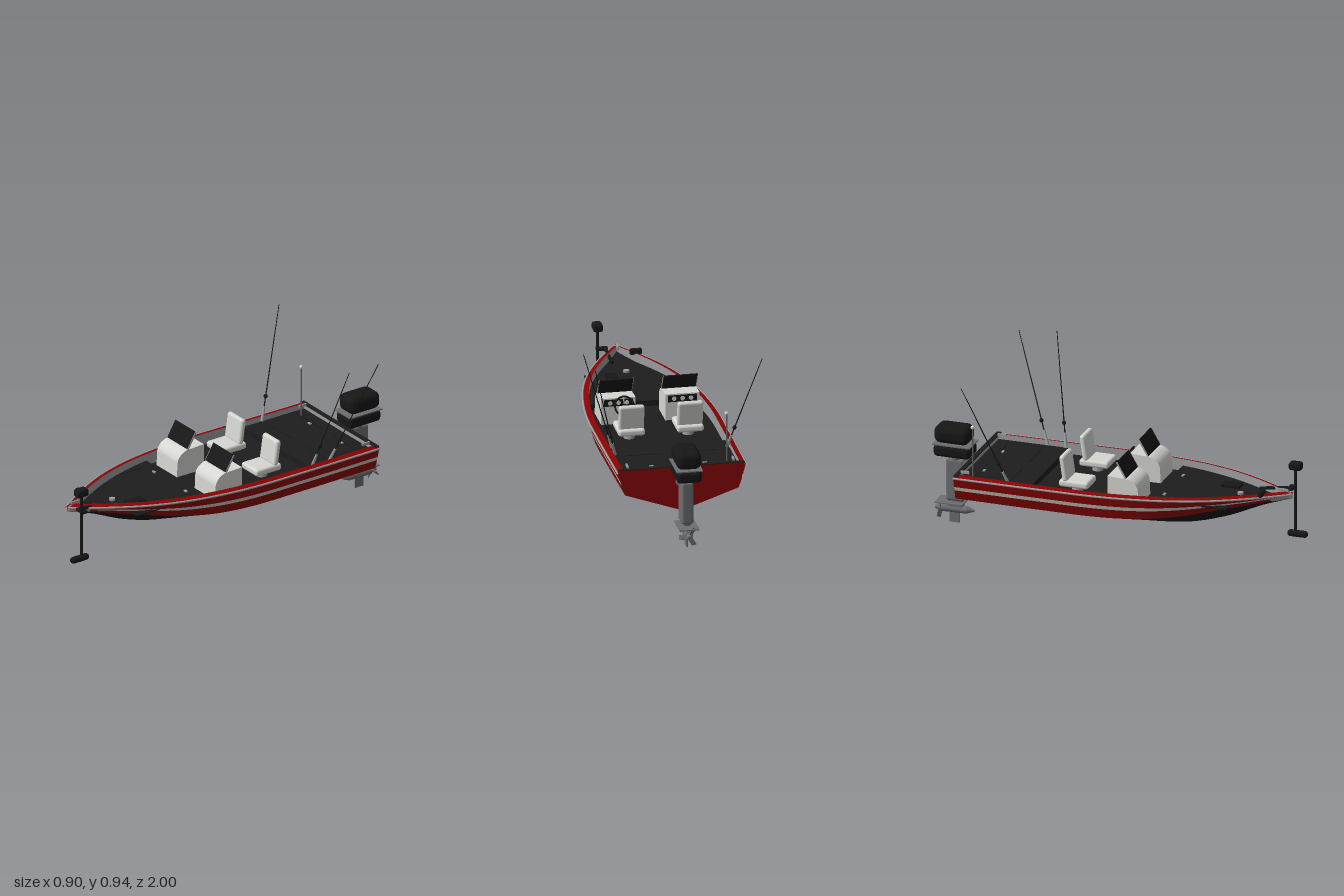
import * as THREE from 'three';
import { RoundedBoxGeometry } from 'three/addons/geometries/RoundedBoxGeometry.js';

const V = (x, y, z) => new THREE.Vector3(x, y, z);

export function createModel() {
  const model = new THREE.Group();
  model.name = 'fishingBoat';
  const mat = (name, color) => {
    const m = new THREE.MeshStandardMaterial({ color, side: THREE.DoubleSide });
    m.name = name;
    return m;
  };
  const red = mat('hullRed', 0x8b0303), black = mat('black', 0x171717), deckMat = mat('deckCharcoal', 0x1d1d1e);
  const stripe = mat('stripeGrey', 0xcac5be), metal = mat('metal', 0x9a9c9e), white = mat('vinylWhite', 0xd6d6d2);
  const grey = mat('engineGrey', 0x6c6e71), seam = mat('seam', 0x141414);

  const CX = -0.013; // centreline of the hull
  const add = (name, geo, m, x = 0, y = 0, z = 0, parent = model) => {
    const mesh = new THREE.Mesh(geo, m);
    mesh.name = name;
    mesh.position.set(x, y, z);
    parent.add(mesh);
    return mesh;
  };
  const box = (name, m, w, h, d, x, y, z, parent) => add(name, new THREE.BoxGeometry(w, h, d), m, x, y, z, parent);
  const rbox = (name, m, w, h, d, x, y, z, r, parent) =>
    add(name, new RoundedBoxGeometry(w, h, d, 4, r), m, x, y, z, parent);
  const bar = (name, m, a, b, r1, r2 = r1, parent = model) => {
    const dir = b.clone().sub(a), mid = a.clone().add(b).multiplyScalar(0.5);
    const mesh = add(name, new THREE.CylinderGeometry(r2, r1, dir.length(), 12), m, mid.x, mid.y, mid.z, parent);
    mesh.quaternion.setFromUnitVectors(V(0, 1, 0), dir.normalize());
    return mesh;
  };
  const ball = (name, m, r, x, y, z, parent) => add(name, new THREE.SphereGeometry(r, 16, 12), m, x, y, z, parent);

  // Hull stations: sheer half-width, chine half-width, keel y, chine y, sheer y
  const stations = [-0.785, -0.3, 0, 0.2, 0.4, 0.6, 0.8, 0.95];
  const lines = new THREE.CubicInterpolant(stations, [
    0.335, 0.298, 0.15, 0.254, 0.382,
    0.338, 0.302, 0.15, 0.254, 0.384,
    0.335, 0.300, 0.15, 0.256, 0.386,
    0.315, 0.281, 0.153, 0.265, 0.388,
    0.277, 0.240, 0.176, 0.289, 0.392,
    0.209, 0.173, 0.236, 0.327, 0.396,
    0.104, 0.083, 0.324, 0.361, 0.400,
    0.004, 0.002, 0.376, 0.384, 0.403], 5, new Float32Array(5));
  const at = z => {
    const [sw, cw, ky, cy, sy] = lines.evaluate(z);
    return { sw, cw, ky, cy, sy, iw: Math.max(sw - 0.029, 0) };
  };
  // Strip between two longitudinal lines, mirrored to both sides
  const strip = (name, m, lineA, lineB, z0 = -0.785, z1 = 0.95, n = 48) => {
    for (const s of [-1, 1]) {
      const pos = [], idx = [];
      for (let i = 0; i <= n; i++) {
        const z = z0 + (z1 - z0) * i / n, h = at(z);
        for (const f of [lineA, lineB]) {
          const [x, y] = f(h);
          pos.push(CX + s * x, y, z);
        }
        if (i < n) {
          const a = i * 2;
          if (s > 0) idx.push(a, a + 1, a + 2, a + 1, a + 3, a + 2);
          else idx.push(a, a + 2, a + 1, a + 1, a + 2, a + 3);
        }
      }
      const g = new THREE.BufferGeometry();
      g.setAttribute('position', new THREE.Float32BufferAttribute(pos, 3));
      g.setIndex(idx);
      g.computeVertexNormals();
      add(name + (s > 0 ? 'Left' : 'Right'), g, m);
    }
  };
  const side = t => h => [h.cw + (h.sw - h.cw) * Math.pow(t, 0.85), h.cy + (h.sy - h.cy) * t];
  const keel = h => [0, h.ky], bowZ = 0.85;
  strip('hullBottom', black, keel, side(0), -0.785, bowZ);
  strip('lowerSide', red, side(0), side(0.4), -0.785, bowZ);
  strip('sideStripe', stripe, side(0.4), side(0.56), -0.785, bowZ);
  strip('upperSide', red, side(0.56), side(1));
  // Metal bow plate above a level lower edge
  const plateEdge = h => {
    const k = THREE.MathUtils.clamp((0.356 - h.ky) / (h.cy - h.ky), 0, 1);
    return [h.cw * k, h.ky + (h.cy - h.ky) * k];
  };
  strip('bowBottom', black, keel, plateEdge, bowZ, 0.95, 12);
  strip('bowPlateLower', metal, plateEdge, side(0), bowZ, 0.95, 12);
  strip('bowPlateUpper', metal, side(0), side(0.56), bowZ, 0.95, 12);
  strip('gunwale', red, side(1), h => [h.iw, h.sy + 0.008]);

  // Inner walls and decks: raised bow and stern, sunken cockpit
  const decks = [['sternDeck', -0.785, -0.39, 0.362], ['cockpitFloor', -0.39, 0.25, 0.33], ['bowDeck', 0.25, 0.95, 0.361]];
  for (const [name, z0, z1, y] of decks) {
    strip(name, deckMat, h => [h.iw, Math.max(y, h.cy)], h => [0, Math.max(y, h.cy)], z0, z1, 24);
    strip(name + 'Wall', metal, h => [h.iw, h.sy + 0.008], h => [h.iw, Math.max(y, h.cy)], z0, z1, 24);
  }
  box('rearBulkhead', deckMat, 0.61, 0.032, 0.004, CX, 0.346, -0.39);
  box('frontBulkhead', deckMat, 0.54, 0.031, 0.004, CX, 0.345, 0.25);
  // Square bow panel whose front corners stand proud of the hull
  box('bowPanel', black, 0.445, 0.006, 0.365, CX, 0.3565, 0.4825);

  // Transom
  const t = at(-0.785), tr = new THREE.Shape();
  tr.moveTo(0, t.ky);
  [[t.cw, t.cy], [t.sw, t.sy], [t.iw, t.sy + 0.008], [-t.iw, t.sy + 0.008], [-t.sw, t.sy], [-t.cw, t.cy]]
    .forEach(p => tr.lineTo(...p));
  add('transom', new THREE.ShapeGeometry(tr).rotateY(Math.PI), red, CX, 0, -0.786);
  box('transomInnerWall', metal, 0.61, 0.026, 0.016, CX, 0.374, -0.776);
  box('transomCap', deckMat, 0.66, 0.006, 0.024, CX, 0.39, -0.774);

  for (const s of [-1, 1]) {
    // Rub rail along the sheer
    const pts = [];
    for (let i = 0; i <= 24; i++) {
      const z = -0.785 + 1.735 * i / 24, h = at(z);
      pts.push(V(CX + s * (h.sw + 0.003), h.sy - 0.004, z));
    }
    add('rubRail', new THREE.TubeGeometry(new THREE.CatmullRomCurve3(pts), 60, 0.006, 8), metal);
    // Cleats and hatch pulls
    box('sternCleat', metal, 0.008, 0.014, 0.045, CX + s * 0.278, 0.397, -0.74);
    for (const z of [-0.685, 0.3]) box('hatchPull', metal, 0.022, 0.006, 0.012, CX + s * 0.14, 0.365, z);
    // Stern hatch seams
    for (const z of [-0.51, -0.7]) box('hatchSeam', seam, 0.2, 0.002, 0.004, CX + s * 0.145, 0.362, z);
  }
  box('bowHatchSeam', seam, 0.004, 0.002, 0.3, -0.235, 0.361, 0.45);
  box('bowCleat', metal, 0.008, 0.022, 0.05, CX, 0.412, 0.9);
  rbox('bowRoller', metal, 0.02, 0.03, 0.03, CX, 0.392, 0.93, 0.006);
  add('seatSocket', new THREE.CylinderGeometry(0.017, 0.017, 0.012, 6), metal, CX, 0.367, 0.665);
  box('footPedal', black, 0.06, 0.014, 0.1, 0.078, 0.368, 0.585);
  rbox('fishFinder', black, 0.062, 0.032, 0.02, -0.092, 0.415, 0.81, 0.005);

  // Consoles with rounded fronts and tinted windscreens
  const prof = new THREE.Shape();
  prof.moveTo(0.03, 0.33);
  prof.lineTo(0.2, 0.33);
  prof.lineTo(0.196, 0.41);
  prof.quadraticCurveTo(0.19, 0.45, 0.14, 0.467);
  prof.lineTo(0.03, 0.472);
  prof.closePath();
  const consoleAt = (x, name) => {
    const w = 0.18, g = new THREE.Group();
    g.name = name;
    g.position.x = x;
    model.add(g);
    const geo = new THREE.ExtrudeGeometry(prof, { depth: w, bevelEnabled: false, curveSegments: 10 })
      .rotateY(-Math.PI / 2).translate(w / 2, 0, 0);
    add('consoleBody', geo, white, 0, 0, 0, g);
    const screen = box('windscreen', black, w, 0.1, 0.006, 0, 0.512, 0.105, g);
    screen.rotation.x = -0.53;
    for (const s of [-1, 1]) box('screenFrame', metal, 0.003, 0.1, 0.008, s * w / 2, 0, 0, screen);
    box('dashPanel', black, w * 0.84, 0.036, 0.004, 0, 0.447, 0.029, g);
    for (let i = -1; i <= 1; i++) {
      const dial = add('gauge', new THREE.CylinderGeometry(0.012, 0.012, 0.003, 16), white, i * 0.044, 0.447, 0.0265, g);
      dial.rotation.x = Math.PI / 2;
    }
    return g;
  };
  consoleAt(-0.18, 'rightConsole');
  const helm = consoleAt(0.156, 'helmConsole');

  // Steering wheel
  const wheel = new THREE.Group();
  wheel.name = 'steeringWheel';
  wheel.position.set(-0.026, 0.437, 0.0);
  wheel.rotation.x = 0.52;
  helm.add(wheel);
  add('wheelRim', new THREE.TorusGeometry(0.05, 0.005, 8, 32), black, 0, 0, 0, wheel);
  ball('wheelHub', black, 0.012, 0, 0, 0, wheel);
  for (let i = 0; i < 3; i++) {
    const a = Math.PI / 2 + i * Math.PI * 2 / 3;
    bar('wheelSpoke', metal, V(0, 0, 0), V(Math.cos(a) * 0.05, Math.sin(a) * 0.05, 0), 0.004, 0.004, wheel);
  }
  bar('steeringColumn', black, V(0, 0, 0), V(0, 0, 0.05), 0.009, 0.009, wheel);

  // Seats
  for (const x of [-0.168, 0.14]) {
    const g = new THREE.Group();
    g.name = 'seat';
    g.position.x = x;
    model.add(g);
    bar('pedestal', metal, V(0, 0.33, -0.17), V(0, 0.37, -0.17), 0.03, 0.022, g);
    rbox('cushion', white, 0.14, 0.038, 0.16, 0, 0.382, -0.17, 0.014, g);
    const back = rbox('backrest', white, 0.135, 0.14, 0.03, 0, 0.461, -0.226, 0.014, g);
    back.rotation.x = -0.15;
  }

  // Fishing rods in holders: base, tip
  for (const [a, b] of [
    [V(-0.308, 0.37, -0.495), V(-0.45, 0.922, -0.705)],
    [V(0.28, 0.37, -0.495), V(0.425, 0.922, -0.705)],
    [V(0.275, 0.37, -0.393), V(0.447, 0.937, -0.505)]]) {
    bar('rodHolder', metal, a, a.clone().lerp(b, 0.13), 0.009, 0.006);
    bar('rod', black, a, b, 0.0035, 0.002);
    const r = a.clone().lerp(b, 0.215);
    ball('reel', black, 0.011, r.x, r.y, r.z);
  }
  // Stern light
  bar('lightPole', grey, V(-0.262, 0.36, -0.71), V(-0.262, 0.63, -0.71), 0.004);
  ball('lightGlobe', white, 0.01, -0.262, 0.637, -0.71);

  // Trolling motor off the bow
  const tm = 0.085;
  rbox('trollingHead', black, 0.05, 0.042, 0.068, tm, 0.518, 0.932, 0.012);
  bar('trollingShaft', black, V(tm, 0.145, 0.93), V(tm, 0.5, 0.93), 0.008);
  const pod = add('trollingPod', new THREE.CapsuleGeometry(0.018, 0.076, 6, 16), black, tm, 0.145, 0.942);
  pod.rotation.x = Math.PI / 2;
  bar('trollingMount', black, V(0.045, 0.385, 0.75), V(0.05, 0.405, 0.9), 0.009);
  box('trollingBracket', black, 0.06, 0.014, 0.03, 0.065, 0.402, 0.915);

  // Outboard engine
  const eng = new THREE.Group();
  eng.name = 'outboardEngine';
  eng.position.x = CX;
  model.add(eng);
  rbox('upperCowl', black, 0.13, 0.095, 0.19, 0, 0.491, -0.9, 0.035, eng);
  box('cowlTrim', grey, 0.138, 0.006, 0.205, 0, 0.44, -0.895, eng);
  rbox('lowerCowl', black, 0.132, 0.066, 0.2, 0, 0.405, -0.895, 0.022, eng);
  box('clampBracket', grey, 0.07, 0.07, 0.06, 0, 0.345, -0.812, eng);
  bar('driveShaft', grey, V(0, 0.34, -0.885), V(0, 0.39, -0.885), 0.03, 0.035, eng);
  rbox('midsection', grey, 0.064, 0.232, 0.098, 0, 0.242, -0.888, 0.014, eng);
  box('ventilationPlate', grey, 0.104, 0.006, 0.15, 0, 0.115, -0.915, eng);
  box('lowerStrut', grey, 0.03, 0.06, 0.08, 0, 0.105, -0.89, eng);
  bar('gearcase', grey, V(0, 0.075, -0.965), V(0, 0.075, -0.83), 0.022, 0.02, eng);
  bar('gearcaseNose', grey, V(0, 0.075, -0.83), V(0, 0.075, -0.79), 0.02, 0.005, eng);
  box('skeg', grey, 0.006, 0.06, 0.055, 0, 0.03, -0.897, eng);
  bar('propHub', grey, V(0, 0.075, -1), V(0, 0.075, -0.962), 0.012, 0.018, eng);
  for (let i = 0; i < 3; i++) {
    const geo = new THREE.BoxGeometry(0.042, 0.026, 0.005).rotateX(0.6).translate(0.032, 0, 0);
    const blade = add('propBlade', geo, grey, 0, 0.075, -0.975, eng);
    blade.rotation.z = i * Math.PI * 2 / 3;
  }
  return model;
}
